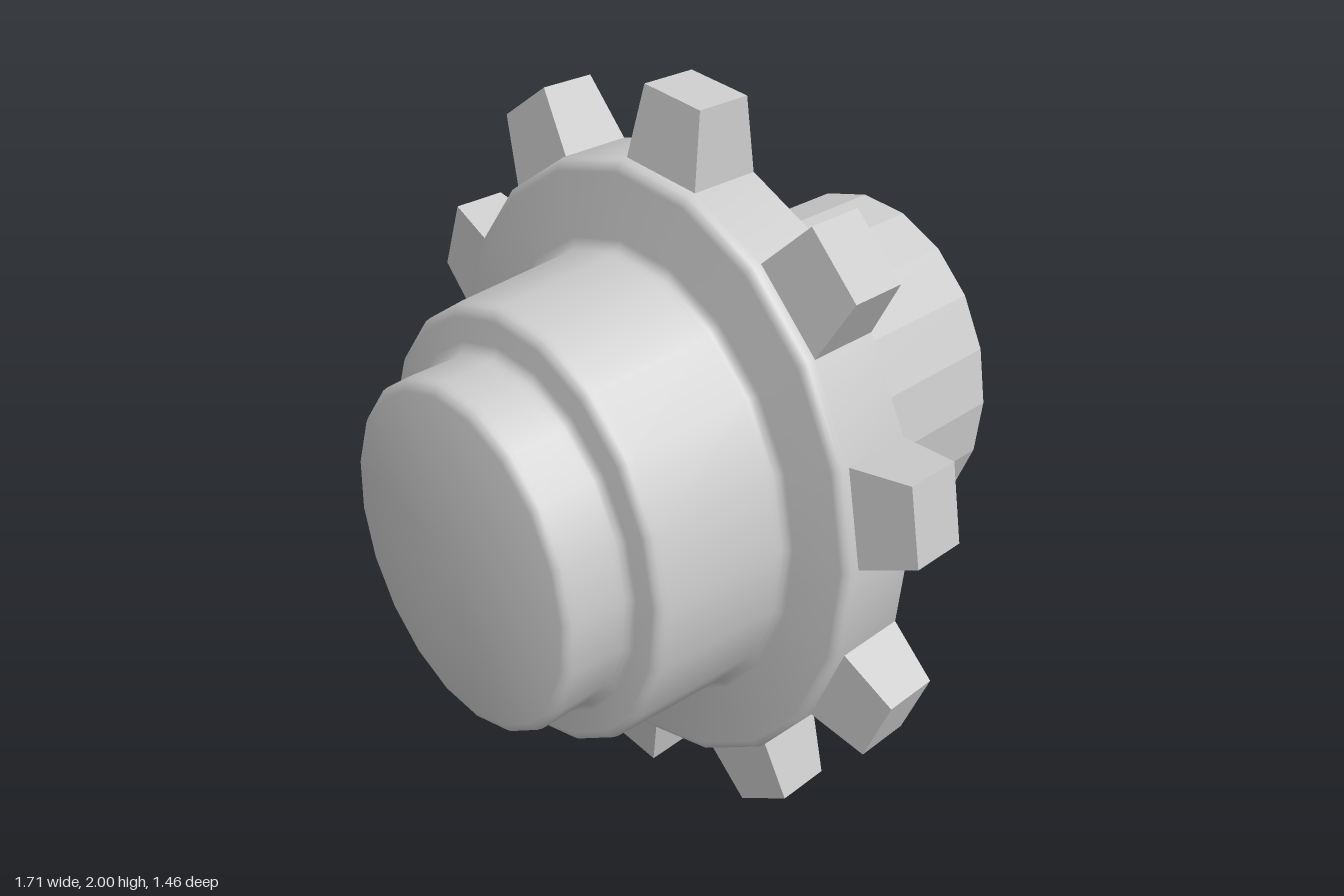
import * as THREE from 'three';
import { toCreasedNormals } from 'three/addons/utils/BufferGeometryUtils.js';

const SIDES = 20;
const TEETH = 10;
const SQUASH = 0.86; // the wheel is narrower in x than in y
const TOOTH_ANGLE = THREE.MathUtils.degToRad(84.2);
const RING_START = TOOTH_ANGLE - 4.5 * (2 * Math.PI / SIDES); // a corner of the ring

const smooth = new THREE.MeshStandardMaterial({ color: 0xcccccc });
const flat = new THREE.MeshStandardMaterial({ color: 0xcccccc, flatShading: true });

// Revolve a profile of [radius, z] pairs (back to front) around the z axis
function revolve(profile) {
  const points = profile.map(([r, z]) => new THREE.Vector2(r, z));
  const geo = new THREE.LatheGeometry(points, SIDES, RING_START + Math.PI / 2);
  return geo.rotateX(Math.PI / 2).scale(SQUASH, 1, 1);
}

// Points of a quarter round between two angles (degrees) around [r, z]
function arc(r, z, radius, from, to, steps = 3) {
  return Array.from({ length: steps + 1 }, (_, i) => {
    const a = THREE.MathUtils.degToRad(from + (to - from) * i / steps);
    return [r + radius * Math.cos(a), z + radius * Math.sin(a)];
  });
}

function addMesh(group, name, geometry, material) {
  const mesh = new THREE.Mesh(geometry, material);
  mesh.name = name;
  group.add(mesh);
}

// Tapered block on one side of the ring, pointing outwards along angle
function toothGeometry(angle) {
  const geo = new THREE.BoxGeometry(1, 1, 1);
  const pos = geo.attributes.position;
  for (let i = 0; i < pos.count; i++) {
    const tip = pos.getX(i) > 0;
    const front = pos.getZ(i) > 0;
    pos.setXYZ(i,
      tip ? 0.994 : 0.813,
      Math.sign(pos.getY(i)) * (tip ? 0.102 : 0.129),
      front ? (tip ? 0.113 : 0.135) : (tip ? -0.035 : -0.055));
  }
  return geo.rotateZ(angle).scale(SQUASH, 1, 1);
}

export function createModel() {
  const model = new THREE.Group();
  model.name = 'sprocketHub';
  const wheel = new THREE.Group();
  wheel.name = 'wheel';
  wheel.position.y = 1;
  model.add(wheel);

  // Ring with a raised back plate, stepped hub and rounded edges
  const body = revolve([
    [0.45, -0.055], [0.63, -0.055], [0.63, -0.073], [0.755, -0.073], [0.755, -0.055],
    [0.825, -0.055], [0.825, 0.135],
    ...arc(0.797, 0.142, 0.028, 0, 90),
    ...arc(0.633, 0.2, 0.03, 270, 180),
    ...arc(0.553, 0.523, 0.03, 0, 90),
    ...arc(0.493, 0.583, 0.03, 270, 180),
    ...arc(0.434, 0.701, 0.029, 0, 90),
    [0, 0.73],
  ]);
  addMesh(wheel, 'ringAndHub', toCreasedNormals(body, THREE.MathUtils.degToRad(50)), smooth);

  // Faceted shaft at the back
  const shaft = revolve([[0, -0.73], [0.5, -0.73], [0.5, -0.05]]);
  addMesh(wheel, 'shaft', shaft, flat);

  // Teeth on every other side of the ring
  const teeth = new THREE.Group();
  teeth.name = 'teeth';
  wheel.add(teeth);
  for (let i = 0; i < TEETH; i++) {
    addMesh(teeth, 'tooth', toothGeometry(TOOTH_ANGLE + i * 2 * Math.PI / TEETH), flat);
  }
  return model;
}
